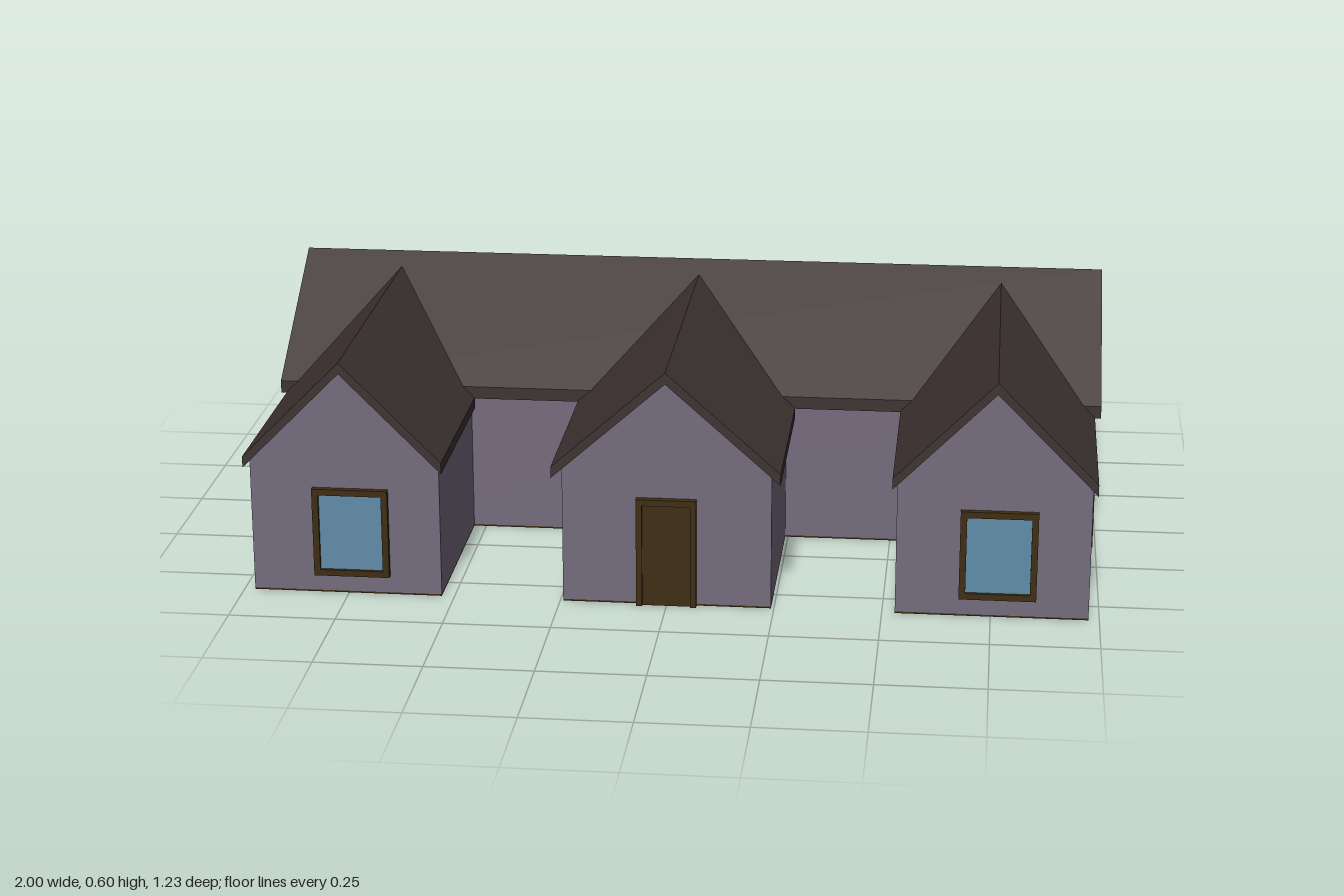
import * as THREE from 'three';

const mat = (name, color) => Object.assign(new THREE.MeshStandardMaterial({ color }), { name });

export function createModel() {
  const house = new THREE.Group();
  house.name = 'house';
  const wallMat = mat('mauve wall', 0x746b7c);
  const roofMat = mat('dark roof', 0x3d3232);
  const glassMat = mat('blue glass', 0x5f8ca8);
  const woodMat = mat('brown wood', 0x3d2c10);

  const add = (name, geometry, material, parent = house) => {
    const mesh = new THREE.Mesh(geometry, material);
    mesh.name = name;
    parent.add(mesh);
    return mesh;
  };
  const polygon = (pts) => new THREE.Shape(pts.map(([x, y]) => new THREE.Vector2(x, y)));
  const extrude = (shape, depth) => new THREE.ExtrudeGeometry(shape, { depth, bevelEnabled: false });

  // Extrudes a [z, y] profile along x
  const extrudeAlongX = (pts, x0, x1) =>
    extrude(polygon(pts.map(([z, y]) => [-z, y])), x1 - x0).rotateY(Math.PI / 2).translate(x0, 0, 0);

  // Sloped slab: top corners counter-clockwise from above, dropped by t
  const slab = (top, t) => {
    const low = top.map(([x, y, z]) => [x, y - t, z]);
    const pos = [];
    const quad = (a, b, c, d) => pos.push(...a, ...b, ...c, ...a, ...c, ...d);
    quad(...top);
    quad(...[...low].reverse());
    for (let i = 0; i < 4; i++) {
      const j = (i + 1) % 4;
      quad(low[i], low[j], top[j], top[i]);
    }
    const g = new THREE.BufferGeometry();
    g.setAttribute('position', new THREE.Float32BufferAttribute(pos, 3));
    g.computeVertexNormals();
    return g;
  };

  const base = 0.004;
  const floor = (x0, x1, z0, z1) =>
    add('floor', new THREE.BoxGeometry(x1 - x0, base, z1 - z0)
      .translate((x0 + x1) / 2, base / 2, (z0 + z1) / 2), woodMat);

  // Main block with its long gable roof
  const back = -0.595, front = 0.12, side = 0.975;
  add('mainWalls', extrudeAlongX(
    [[back, base], [back, 0.335], [-0.23, 0.576], [front, 0.347], [front, base]].reverse(), -side, side), wallMat);
  floor(-side, side, back, front);
  add('mainRoof', extrudeAlongX(
    [[-0.615, 0.325], [-0.23, 0.574], [0.135, 0.338], [0.135, 0.368], [-0.23, 0.604], [-0.615, 0.352]], -1, 1), roofMat);

  // Three front wings, each with its own gable roof running into the main one
  const wingFront = 0.585, ridgeY = 0.575, eaveY = 0.34, thick = 0.027;
  const wings = [
    { name: 'rightWing', x: -0.7525, wall: 0.2225, eave: 0.233 },
    { name: 'middleWing', x: 0, wall: 0.243, eave: 0.265 },
    { name: 'leftWing', x: 0.7525, wall: 0.2225, eave: 0.233 },
  ];
  for (const { name, x, wall, eave } of wings) {
    const apex = ridgeY - thick;
    const wallTop = apex - (ridgeY - eaveY) / eave * wall;
    const gable = polygon([[-wall, base], [wall, base], [wall, wallTop], [0, apex], [-wall, wallTop]]);
    add(name + 'Walls', extrude(gable, wingFront - 0.1).translate(x, 0, 0.1), wallMat);
    floor(x - wall, x + wall, front, wingFront);
    for (const s of [-1, 1]) {
      const top = [
        [x, ridgeY, 0.612], [x + s * eave, eaveY, 0.612],
        [x + s * eave, eaveY, 0.13], [x, ridgeY, -0.2],
      ];
      add(name + 'Roof', slab(s > 0 ? top : top.reverse(), thick), roofMat);
    }
  }

  // Framed windows, facing +z before being turned
  const addWindow = (x, z, turn, w = 0.178) => {
    const g = new THREE.Group();
    g.name = 'window';
    const h = 0.215, b = 0.015;
    const rect = (hw, hh) => [[-hw, -hh], [hw, -hh], [hw, hh], [-hw, hh]];
    const frame = polygon(rect(w / 2, h / 2));
    frame.holes.push(polygon(rect(w / 2 - b, h / 2 - b)));
    add('windowFrame', extrude(frame, 0.014), woodMat, g);
    add('windowGlass', new THREE.BoxGeometry(w - 2 * b, h - 2 * b, 0.006).translate(0, 0, 0.003), glassMat, g);
    g.position.set(x, 0.153, z);
    g.rotation.y = turn;
    house.add(g);
  };
  const H = Math.PI / 2;
  for (const x of [-0.74, 0.765]) addWindow(x, wingFront, 0);
  for (const z of [0.147, -0.418]) addWindow(side, z, H);
  for (const z of [-0.418, 0.175, 0.385]) addWindow(-side, z, -H);
  addWindow(-0.243, 0.385, -H);
  for (const x of [-0.74, -0.5]) addWindow(x, back, Math.PI);
  addWindow(0.645, back, Math.PI, 0.43);

  // Front door: surround and recessed panel
  const surround = polygon([[-0.07, 0], [-0.056, 0], [-0.056, 0.248], [0.056, 0.248],
    [0.056, 0], [0.07, 0], [0.07, 0.263], [-0.07, 0.263]]);
  add('doorFrame', extrude(surround, 0.016).translate(0, 0, wingFront), woodMat);
  add('door', new THREE.BoxGeometry(0.112, 0.248, 0.009).translate(0, 0.124, wingFront + 0.0045), woodMat);

  return house;
}
